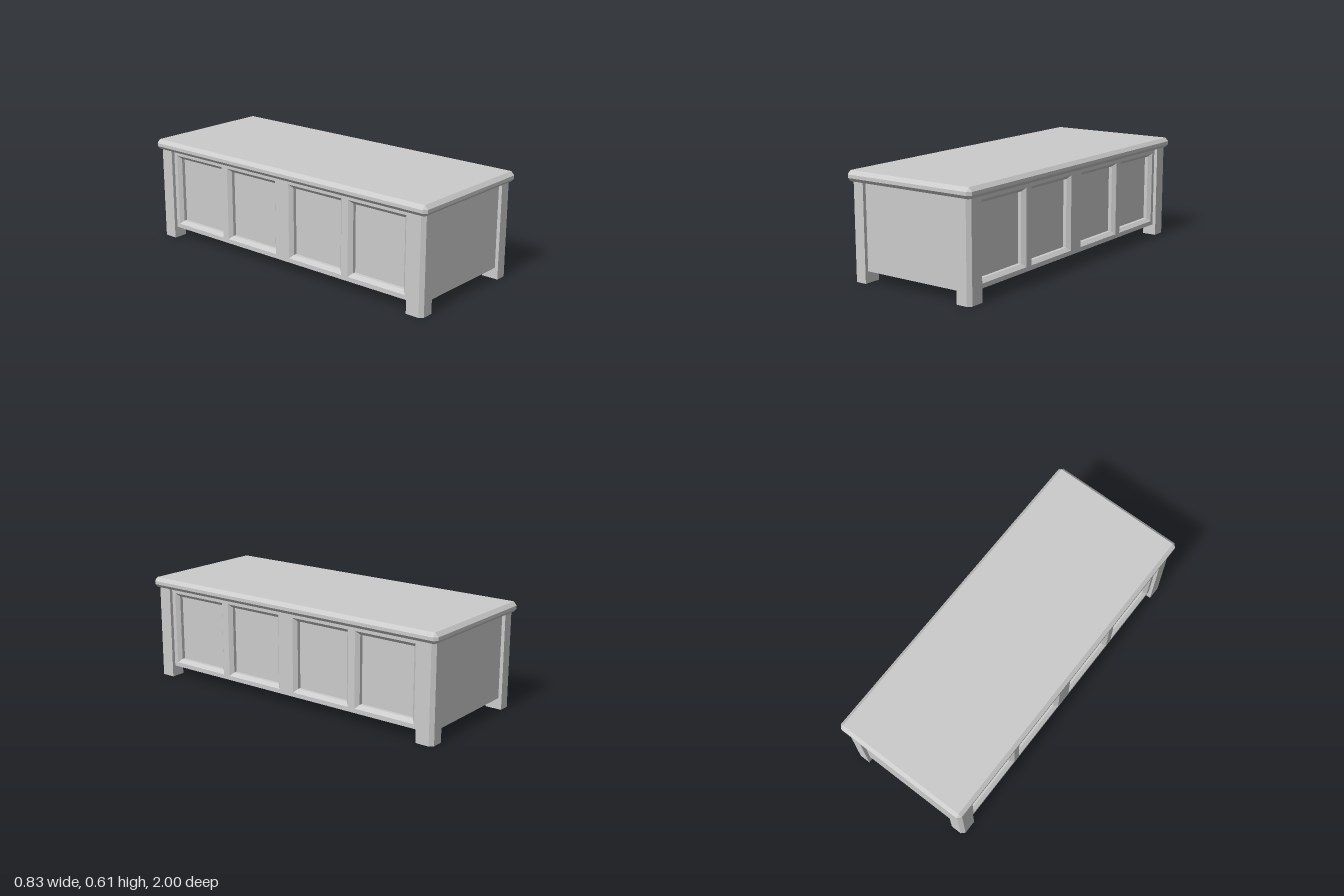
import * as THREE from 'three';
import { ConvexGeometry } from 'three/addons/geometries/ConvexGeometry.js';

const material = new THREE.MeshStandardMaterial({ color: 0xcccccc, flatShading: true });

const BOTTOM = 0.065, LID_Y = 0.545;        // underside of the body, underside of the lid
const POST = { x: 0.395, z: 0.98 };         // outer faces of the corner posts
const PANEL_X = 0.335, FRAME_X = 0.375;     // sunken panels and side frame faces
const OPENINGS = [-0.665, -0.24, 0.24, 0.665];
const HALF_W = 0.19, Y0 = 0.09, Y1 = 0.52, BEVEL = 0.02;

function add(parent, name, geometry) {
  const mesh = new THREE.Mesh(geometry, material);
  mesh.name = name;
  parent.add(mesh);
  return mesh;
}

// Lid slab with all edges and corners chamfered
function lidGeometry() {
  const points = [];
  for (const sx of [-1, 1]) for (const sz of [-1, 1]) {
    for (const y of [LID_Y, 0.605]) points.push(new THREE.Vector3(sx * 0.395, y, sz * 0.98));
    for (const y of [0.565, 0.584]) {
      points.push(new THREE.Vector3(sx * 0.415, y, sz * 0.98));
      points.push(new THREE.Vector3(sx * 0.395, y, sz));
    }
  }
  return new ConvexGeometry(points);
}

// Square post with its outer corner cut off
function postGeometry(sx, sz) {
  const points = [];
  for (const [x, z] of [[0.31, 0.88], [POST.x, 0.88], [POST.x, 0.96], [0.375, POST.z], [0.31, POST.z]])
    for (const y of [0, LID_Y]) points.push(new THREE.Vector3(sx * x, y, sz * z));
  return new ConvexGeometry(points);
}

// Rectangle corners, counter-clockwise, around an opening
function rect(cx, inset) {
  const w = HALF_W - inset, a = Y0 + inset, b = Y1 - inset;
  return [[cx - w, a], [cx + w, a], [cx + w, b], [cx - w, b]];
}

// Long side frame with four openings, facing +z before it is turned
function frameGeometry(depth) {
  const shape = new THREE.Shape();
  shape.moveTo(-0.9, BOTTOM).lineTo(0.9, BOTTOM).lineTo(0.9, LID_Y).lineTo(-0.9, LID_Y).closePath();
  for (const cx of OPENINGS)
    shape.holes.push(new THREE.Path(rect(cx, 0).map(([x, y]) => new THREE.Vector2(x, y))));
  return new THREE.ExtrudeGeometry(shape, { depth, bevelEnabled: false });
}

// Moulding inside an opening: a sloped band, then a straight step to the panel
function mouldingGeometry(cx, depth) {
  const rings = [[0, depth], [BEVEL, depth / 2], [BEVEL, 0]]
    .map(([inset, z]) => rect(cx, inset).map(([x, y]) => [x, y, z]));
  const positions = [];
  for (let r = 0; r < 2; r++) for (let i = 0; i < 4; i++) {
    const j = (i + 1) % 4;
    const a = rings[r][i], b = rings[r][j], c = rings[r + 1][j], d = rings[r + 1][i];
    positions.push(...a, ...b, ...c, ...a, ...c, ...d);
  }
  const geometry = new THREE.BufferGeometry();
  geometry.setAttribute('position', new THREE.Float32BufferAttribute(positions, 3));
  geometry.computeVertexNormals();
  return geometry;
}

export function createModel() {
  const model = new THREE.Group();
  model.name = 'panelledChest';

  add(model, 'lid', lidGeometry());

  // Closed body: end panels, sunken side panels and floor
  const body = add(model, 'body', new THREE.BoxGeometry(2 * PANEL_X, LID_Y - BOTTOM, 1.92));
  body.position.y = (LID_Y + BOTTOM) / 2;

  for (const sx of [-1, 1]) for (const sz of [-1, 1])
    add(model, 'cornerPost', postGeometry(sx, sz));

  // Panelled frame on each long side
  const depth = FRAME_X - PANEL_X;
  for (const side of [-1, 1]) {
    const group = new THREE.Group();
    group.name = side > 0 ? 'leftSide' : 'rightSide';
    add(group, 'sideFrame', frameGeometry(depth));
    for (const cx of OPENINGS) add(group, 'panelMoulding', mouldingGeometry(cx, depth));
    group.rotation.y = side * Math.PI / 2;
    group.position.x = side * PANEL_X;
    model.add(group);
  }
  return model;
}
